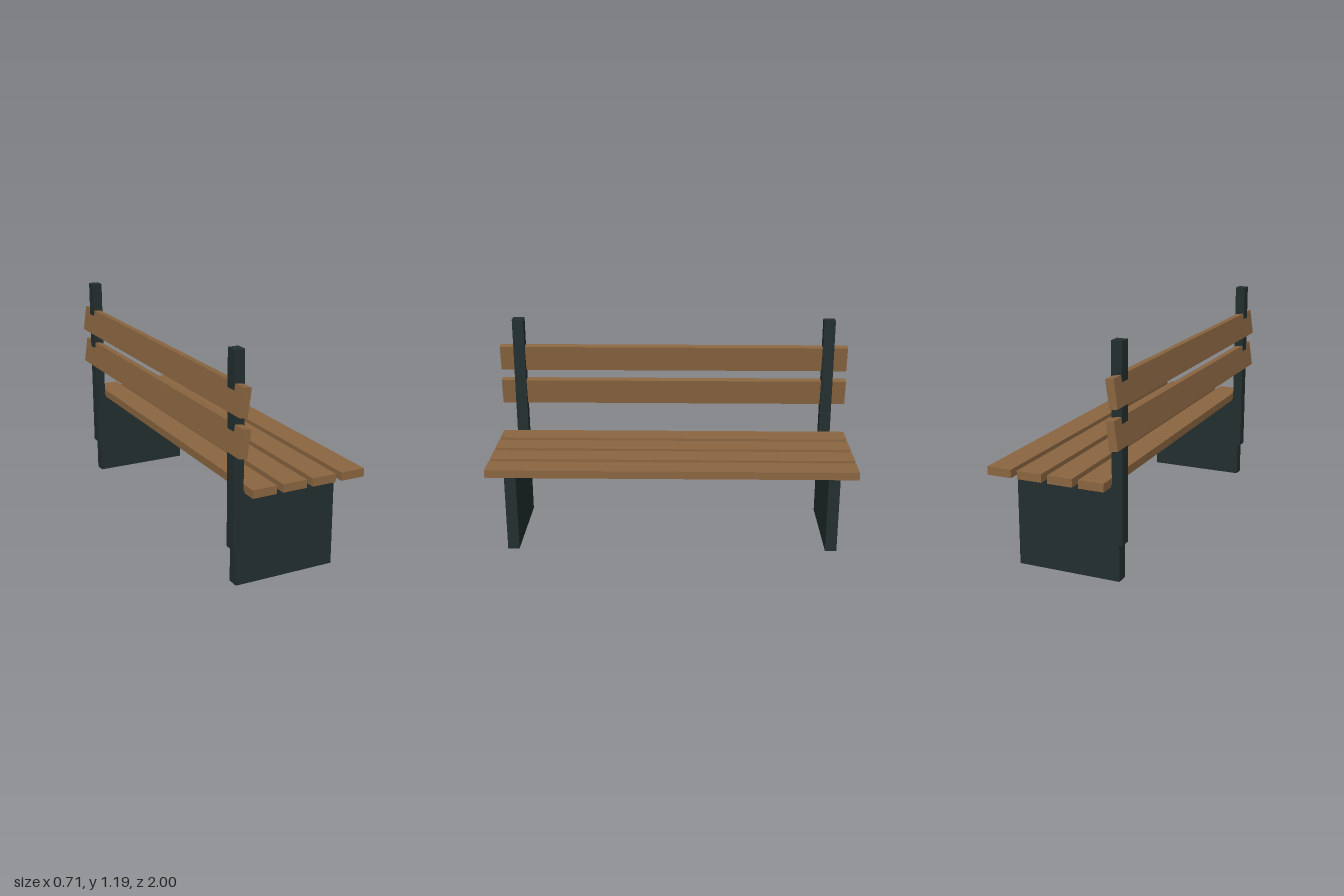
import * as THREE from 'three';

export function createModel() {
  const bench = new THREE.Group();
  bench.name = 'bench';

  const wood = new THREE.MeshStandardMaterial({ color: 0x8b6641, flatShading: true });
  wood.name = 'brown wood';
  const iron = new THREE.MeshStandardMaterial({ color: 0x232f2f, flatShading: true });
  iron.name = 'dark iron';

  function addBox(name, material, size, position) {
    const mesh = new THREE.Mesh(new THREE.BoxGeometry(...size), material);
    mesh.name = name;
    mesh.position.set(...position);
    bench.add(mesh);
    return mesh;
  }

  // End supports: a solid leg panel and a back post at each end
  for (const [side, s] of [['left', 1], ['right', -1]]) {
    const z = s * 0.888;
    addBox(side + 'LegPanel', iron, [0.552, 0.49, 0.064], [-0.046, 0.245, z]);
    addBox(side + 'BackPost', iron, [0.055, 1.0, 0.065], [-0.3125, 0.69, z]);
  }

  // Seat slats
  for (let i = 0; i < 4; i++) {
    addBox('seatSlat' + (i + 1), wood, [0.133, 0.043, 2], [-0.2135 + i * 0.1667, 0.5015, 0]);
  }

  // Tilted backrest slats
  [0.758, 0.958].forEach((y, i) => {
    const slat = addBox('backSlat' + (i + 1), wood, [0.043, 0.144, 2], [-0.324, y, 0]);
    slat.rotation.z = -0.14;
  });

  return bench;
}
